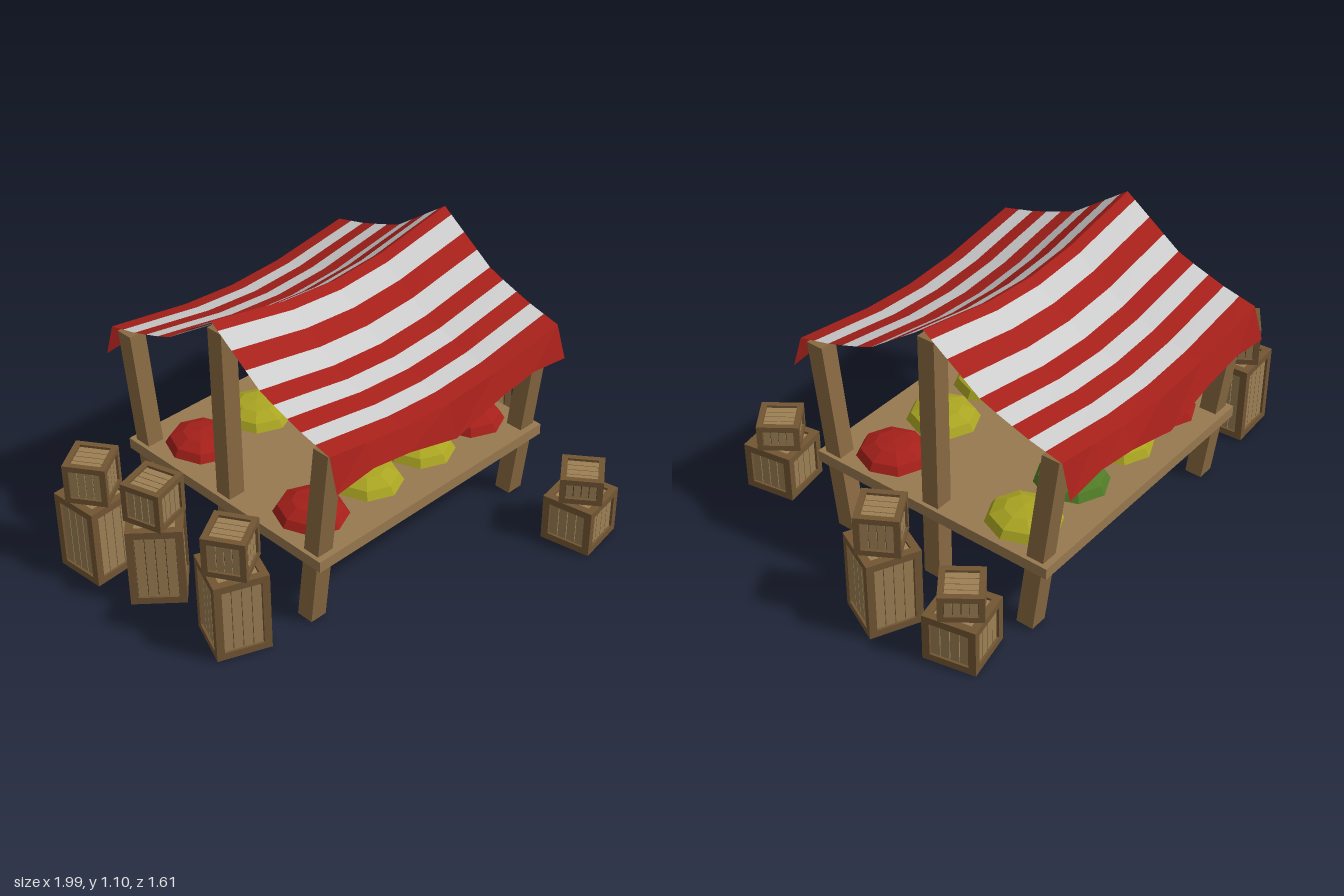
import * as THREE from 'three';

const mat = (color, side = THREE.FrontSide) =>
  new THREE.MeshStandardMaterial({ color, side, flatShading: true });
const wood = mat(0x8a6a42), tableWood = mat(0x98794f), frameWood = mat(0x735634);
const plankWood = mat(0x9c7f54), gapWood = mat(0x4a3822);
const redCloth = mat(0xa6201a, THREE.DoubleSide), paleCloth = mat(0xcccccc, THREE.DoubleSide);
const produce = { red: mat(0xa6201a), yellow: mat(0xaaa522), green: mat(0x4f7a26) };

function box(parent, name, material, size, pos) {
  const m = new THREE.Mesh(new THREE.BoxGeometry(...size), material);
  m.name = name;
  m.position.set(...pos);
  parent.add(m);
  return m;
}

// Piecewise linear lookup in a list of [key, value]
function lookup(knots, k) {
  for (let i = 1; i < knots.length; i++) {
    const [a, va] = knots[i - 1], [b, vb] = knots[i];
    if (k <= b + 1e-6) return va + (vb - va) * (k - a) / (b - a);
  }
  return knots[knots.length - 1][1];
}

// Skin between successive rows of points
function sheet(rows) {
  const pos = [], idx = [], n = rows[0].length;
  rows.forEach(r => r.forEach(p => pos.push(...p)));
  for (let j = 0; j < rows.length - 1; j++)
    for (let i = 0; i < n - 1; i++) {
      const a = j * n + i, b = a + n;
      idx.push(a, b, a + 1, a + 1, b, b + 1);
    }
  const g = new THREE.BufferGeometry();
  g.setAttribute('position', new THREE.Float32BufferAttribute(pos, 3));
  g.setIndex(idx);
  g.computeVertexNormals();
  return g;
}

// Sagging striped canopy with a scalloped valance on each eave
function makeCanopy() {
  const canopy = new THREE.Group();
  canopy.name = 'canopy';
  const xs = [-0.595, -0.42, -0.24, 0, 0.24, 0.42, 0.595];
  const slope = [[0, 1.095], [0.25, 0.915], [0.44, 0.85], [0.585, 0.815]];
  const sag = [[0, 0.085], [0.24, 0.068], [0.42, 0.033], [0.595, 0]];
  const hem = [[0, 0.612], [0.24, 0.675], [0.42, 0.702], [0.595, 0.68]];
  const eave = 0.585, w = eave / 8.5;
  const row = (z, s) => xs.map(x => [x * s,
    lookup(slope, z) - lookup(sag, Math.abs(x)) * (1 - 0.2 * z / eave), z * s]);
  for (const s of [1, -1]) {
    for (let k = 0; k < 9; k++) {
      const z0 = k ? (k - 0.5) * w : 0, z1 = (k + 0.5) * w;
      const m = new THREE.Mesh(sheet([row(z0, s), row(z1, s)]), k % 2 ? paleCloth : redCloth);
      m.name = 'canopyStripe';
      canopy.add(m);
    }
    const bottom = xs.map(x => [x * s * 1.01, lookup(hem, Math.abs(x)), 0.625 * s]);
    const valance = new THREE.Mesh(sheet([row(eave, s), bottom]), redCloth);
    valance.name = 'valance';
    canopy.add(valance);
  }
  return canopy;
}

// Post whose top leans outwards in z
function post(parent, name, x, z0, z1, h) {
  const p = box(parent, name, wood, [0.072, h, 0.072], [x, h / 2, 0]);
  const a = p.geometry.attributes.position;
  for (let i = 0; i < a.count; i++) a.setZ(i, a.getZ(i) + (a.getY(i) > 0 ? z1 : z0));
  p.geometry.computeVertexNormals();
}

// Framed crate with inset planks, standing on its own origin
function makeCrate(s, h) {
  const crate = new THREE.Group();
  crate.name = 'crate';
  const b = s * 0.14, e = (s - b) / 2, inner = s - 2 * b, inset = 0.009, n = 4;
  box(crate, 'crateCore', gapWood, [s - 0.03, h - 0.03, s - 0.03], [0, h / 2, 0]);
  for (const i of [-1, 1]) {
    for (const j of [-1, 1]) {
      box(crate, 'cornerPost', frameWood, [b, h, b], [i * e, h / 2, j * e]);
      const y = h / 2 + j * (h - b) / 2;
      box(crate, 'rail', frameWood, [inner, b, b], [0, y, i * e]);
      box(crate, 'rail', frameWood, [b, b, inner], [i * e, y, 0]);
    }
    const d = i * (s / 2 - inset - 0.005), pw = inner / n;
    for (let k = 0; k < n; k++) {
      const o = (k - (n - 1) / 2) * pw;
      box(crate, 'plank', plankWood, [pw - 0.003, h - 2 * b, 0.01], [o, h / 2, d]);
      box(crate, 'plank', plankWood, [0.01, h - 2 * b, pw - 0.003], [d, h / 2, o]);
      box(crate, 'plank', plankWood, [pw - 0.003, 0.01, inner],
        [o, h / 2 + i * (h / 2 - inset - 0.005), 0]);
    }
  }
  return crate;
}

export function createModel() {
  const model = new THREE.Group();
  model.name = 'marketStall';

  const stall = new THREE.Group();
  stall.name = 'stall';
  stall.position.set(0.012, 0, -0.161);
  stall.rotation.y = -0.04;
  model.add(stall);

  box(stall, 'tableTop', tableWood, [1.2, 0.046, 1.067], [0, 0.307, 0]);
  for (const x of [-0.548, 0.548]) {
    post(stall, 'frontPost', x, 0.43, 0.53, 0.8);
    post(stall, 'rearPost', x, -0.43, -0.53, 0.8);
    post(stall, 'ridgePost', x, 0, 0, 1.05);
  }
  stall.add(makeCanopy());

  // Produce heaps in two rows
  const rows = [[0.3, ['red', 'yellow', 'yellow', 'red']],
    [-0.31, ['red', 'yellow', 'green', 'yellow']]];
  for (const [z, colors] of rows)
    colors.forEach((c, i) => {
      const heap = new THREE.Mesh(
        new THREE.SphereGeometry(1, 8, 3, 0, Math.PI * 2, 0, Math.PI / 2), produce[c]);
      heap.name = c + 'ProduceHeap';
      heap.scale.set(0.14, 0.065, 0.148);
      heap.position.set(-0.42 + i * 0.285, 0.329, z);
      stall.add(heap);
    });

  // Crate stacks: x, z, lower turn, upper turn, lower height, upper height
  const stacks = [
    [-0.885, -0.55, 0.02, 0.55, 0.335, 0.165],
    [-0.825, -0.28, 0.8, 0.25, 0.335, 0.165],
    [-0.83, 0.13, -0.42, 0.5, 0.335, 0.165],
    [0.835, -0.46, 0.17, 0.6, 0.2, 0.11],
    [0.853, -0.125, -0.48, 0.5, 0.335, 0.165],
    [0.49, 0.68, 0.13, 0.6, 0.2, 0.11]];
  for (const [x, z, a, b, h0, h1] of stacks) {
    const stack = new THREE.Group();
    stack.name = 'crateStack';
    stack.position.set(x, 0, z);
    const lower = makeCrate(0.21, h0), upper = makeCrate(0.165, h1);
    lower.rotation.y = a;
    upper.rotation.y = b;
    upper.position.y = h0;
    stack.add(lower, upper);
    model.add(stack);
  }
  return model;
}
